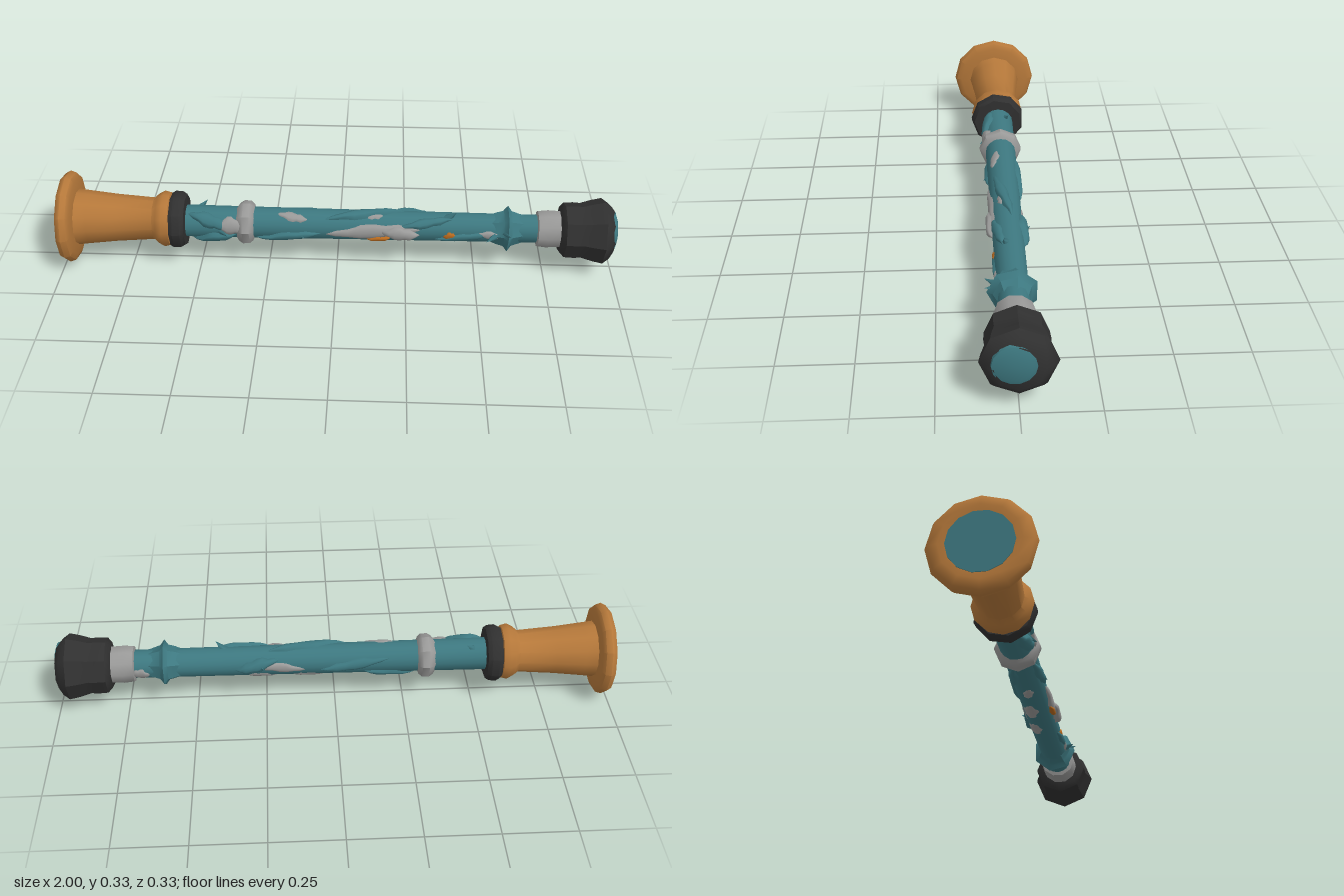
import * as THREE from 'three';
import { toCreasedNormals } from 'three/addons/utils/BufferGeometryUtils.js';

const material = (name, color) => {
  const m = new THREE.MeshStandardMaterial({ color });
  m.name = name;
  return m;
};

export function createModel() {
  const teal = material('teal', 0x3d7880);
  const brass = material('brass', 0xb5783a);
  const black = material('black', 0x303030);
  const grey = material('worn grey', 0x999998);
  const rust = material('rust orange', 0xb86a1e);

  const model = new THREE.Group();
  model.name = 'staff';
  const axisY = 0.157;

  // Turned part along x: profile is a list of [x, radius], running toward +x
  function turned(name, mat, sides, profile, y = axisY, z = 0, crease = 0.7) {
    const points = profile.map(([x, r]) => new THREE.Vector2(r, x));
    const geo = toCreasedNormals(new THREE.LatheGeometry(points, sides), crease);
    geo.rotateZ(-Math.PI / 2);
    const mesh = new THREE.Mesh(geo, mat);
    mesh.name = name;
    mesh.position.set(0, y, z);
    model.add(mesh);
  }

  // Pointed raised sheet hugging the tube; angles from the top toward the front
  function leaf(name, mat, x0, x1, a0, a1, halfWidth, height) {
    const rows = 8, cols = 6, pos = [], index = [];
    for (let i = 0; i <= rows; i++) {
      const t = i / rows;
      const spread = Math.sin(Math.PI * t) * (1 + 0.2 * Math.sin(i * 2.3));
      const x = x0 + (x1 - x0) * t;
      const base = 0.0585 - 0.0075 * (x + 0.55) / 1.27;
      for (let j = 0; j <= cols; j++) {
        const s = j / cols * 2 - 1;
        const a = THREE.MathUtils.degToRad(a0 + (a1 - a0) * t + s * halfWidth * spread);
        const r = base - 0.003 + (height + 0.003) * (1 - s ** 4) * Math.min(1, Math.sin(Math.PI * t) * 1.8);
        pos.push(x, axisY + Math.cos(a) * r, Math.sin(a) * r);
        if (i < rows && j < cols) {
          const p = i * (cols + 1) + j, q = p + cols + 1;
          index.push(p, q, p + 1, p + 1, q, q + 1);
        }
      }
    }
    // Outward winding: x cross increasing angle points inward, so flip
    for (let k = 0; k < index.length; k += 3) [index[k + 1], index[k + 2]] = [index[k + 2], index[k + 1]];
    const geo = new THREE.BufferGeometry();
    geo.setAttribute('position', new THREE.Float32BufferAttribute(pos, 3));
    geo.setIndex(index);
    geo.computeVertexNormals();
    const mesh = new THREE.Mesh(geo, mat);
    mesh.name = name;
    model.add(mesh);
  }

  // Small thorn leaning along the tube
  function thorn(x, angle, length, lean) {
    const a = THREE.MathUtils.degToRad(angle);
    const out = new THREE.Vector3(lean, Math.cos(a), Math.sin(a)).normalize();
    const mesh = new THREE.Mesh(new THREE.ConeGeometry(0.018, length, 5), teal);
    mesh.name = 'thorn';
    mesh.quaternion.setFromUnitVectors(new THREE.Vector3(0, 1, 0), out);
    mesh.position.set(x, axisY + Math.cos(a) * 0.048, Math.sin(a) * 0.048).addScaledVector(out, length * 0.3);
    model.add(mesh);
  }

  // Flared brass end with its flat teal face
  turned('bell', brass, 12, [
    [-0.996, 0], [-0.996, 0.1], [-1, 0.125], [-0.993, 0.157], [-0.975, 0.167], [-0.955, 0.16],
    [-0.947, 0.14], [-0.943, 0.102], [-0.9, 0.097], [-0.8, 0.086], [-0.665, 0.076],
    [-0.65, 0.09], [-0.628, 0.102], [-0.605, 0.096], [-0.595, 0.07],
  ], 0.163, 0, 0.9);
  turned('bellFace', teal, 14, [[-0.999, 0], [-0.999, 0.104], [-0.994, 0.104]], 0.163);

  // Black collar between bell and tube
  turned('collar', black, 9, [
    [-0.602, 0.06], [-0.602, 0.097], [-0.588, 0.105], [-0.562, 0.103], [-0.548, 0.094], [-0.546, 0.05],
  ], 0.16);

  // Long tube
  turned('tube', teal, 16, [[-0.56, 0.059], [-0.3, 0.057], [0.2, 0.054], [0.73, 0.051]]);

  // Grey band
  turned('band', grey, 8, [
    [-0.368, 0.05], [-0.355, 0.07], [-0.34, 0.08], [-0.315, 0.079], [-0.303, 0.068], [-0.296, 0.05],
  ]);

  // Pointed teal knot
  turned('knot', teal, 7, [
    [0.54, 0.046], [0.575, 0.06], [0.598, 0.066], [0.612, 0.085], [0.626, 0.065], [0.675, 0.048],
  ]);

  // Grey sleeve and black pommel
  turned('sleeve', grey, 10, [
    [0.715, 0.045], [0.72, 0.066], [0.755, 0.07], [0.81, 0.067],
  ]);
  turned('pommel', black, 8, [
    [0.797, 0.05], [0.8, 0.083], [0.815, 0.1], [0.85, 0.102], [0.875, 0.1],
    [0.915, 0.112], [0.952, 0.12], [0.975, 0.103], [0.992, 0.078], [0.992, 0],
  ], 0.155);
  turned('pommelCap', teal, 14, [[0.98, 0.073], [0.99, 0.071], [0.997, 0.052], [1, 0]], 0.167, 0.013);

  // Worn grey patches: x from/to, angle from/to, half width, height
  [
    [-0.05, 0.31, 100, 72, 34, 0.008],
    [0.15, 0.3, 80, 95, 28, 0.02],
    [-0.44, -0.32, 70, 80, 38, 0.012],
    [-0.22, -0.1, 20, 45, 22, 0.004],
    [0.08, 0.17, 5, 20, 25, 0.004],
    [0.02, 0.16, 190, 215, 38, 0.004],
    [0.2, 0.32, 200, 225, 38, 0.004],
    [0.1, 0.3, 260, 285, 24, 0.005],
    [-0.12, -0.04, 175, 190, 24, 0.004],
    [0.5, 0.6, 85, 95, 20, 0.006],
    [0.66, 0.73, 250, 260, 32, 0.004],
  ].forEach((p) => leaf('wornPatch', grey, ...p));

  // Rust flecks on the front
  leaf('rustFleck', rust, 0.1, 0.2, 116, 108, 12, 0.013);
  leaf('rustFleck', rust, 0.38, 0.43, 102, 98, 22, 0.006);

  // Raised teal leaves winding round the tube
  [
    [-0.54, -0.38, 30, 80, 30, 0.014],
    [-0.53, -0.36, 150, 110, 28, 0.016],
    [-0.3, -0.05, 130, 95, 20, 0.012],
    [-0.05, 0.25, 40, -20, 24, 0.012],
    [0.2, 0.36, -55, -95, 28, 0.018],
    [0.22, 0.42, 65, 25, 22, 0.012],
    [-0.2, 0.06, 300, 255, 22, 0.012],
    [0.34, 0.56, 120, 85, 18, 0.008],
    [-0.3, -0.1, 200, 240, 22, 0.01],
  ].forEach((p) => leaf('tealLeaf', teal, ...p));

  // Thorns
  [
    [0.57, 92, 0.07, -0.9], [0.6, 78, 0.06, 0.4], [0.28, -80, 0.05, -0.8],
    [-0.5, -30, 0.05, 0.9], [-0.42, 100, 0.05, 0.9], [0.4, 15, 0.05, 0.9], [-0.14, 105, 0.045, 0.9],
  ].forEach((p) => thorn(...p));

  return model;
}
